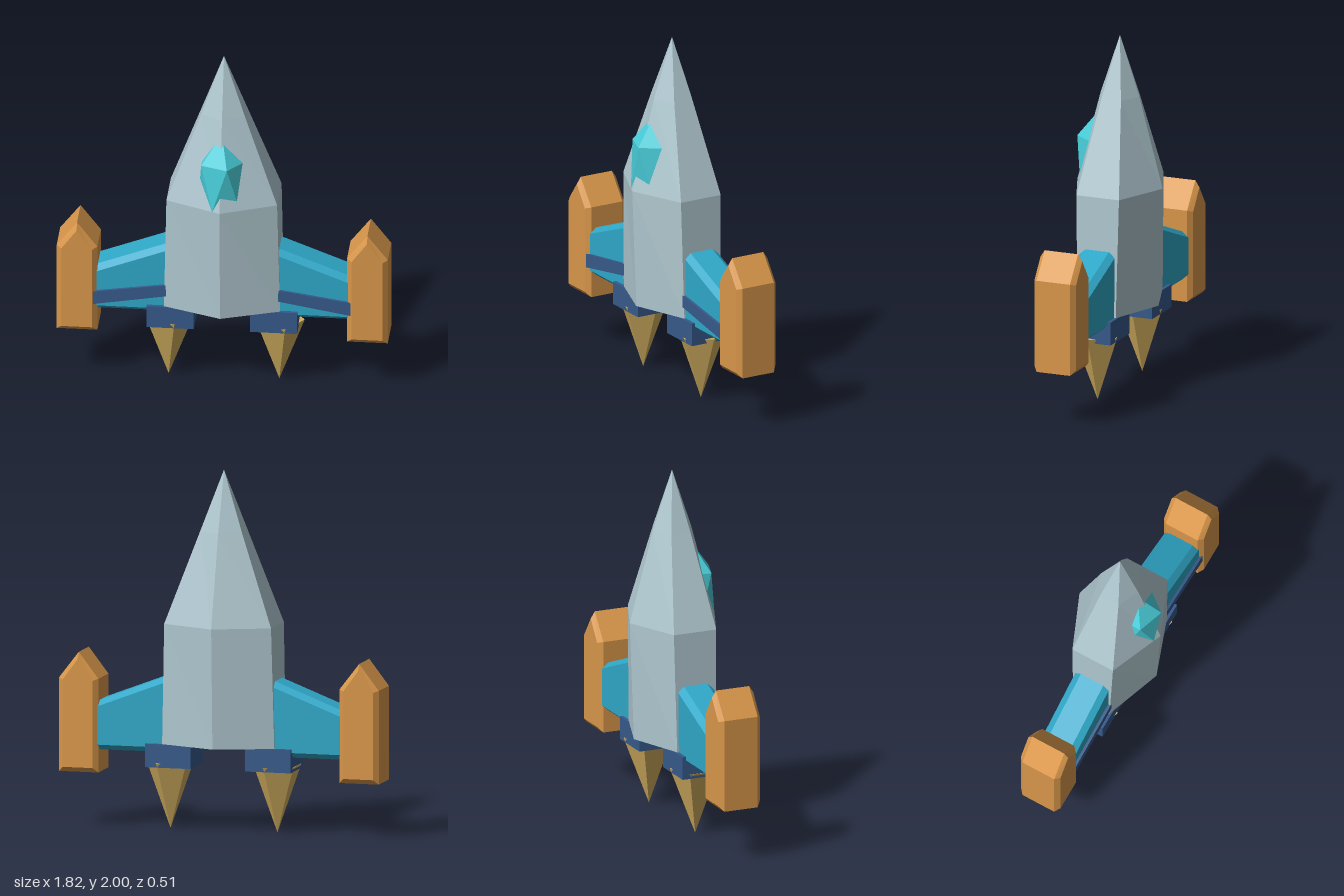
import * as THREE from 'three';

const paint = (name, color) => {
  const m = new THREE.MeshStandardMaterial({ color });
  m.name = name;
  return m;
};

// Split every face so that each one is shaded flat
function facet(geometry) {
  const g = geometry.index ? geometry.toNonIndexed() : geometry;
  g.computeVertexNormals();
  return g;
}

function addPart(parent, name, geometry, material, x = 0, y = 0, z = 0) {
  const mesh = new THREE.Mesh(facet(geometry), material);
  mesh.name = name;
  mesh.position.set(x, y, z);
  parent.add(mesh);
  return mesh;
}

const shapeOf = (pts) => new THREE.Shape(pts.map(([x, y]) => new THREE.Vector2(x, y)));

// Six-sided hull: rows of [y, half width in x, half depth in z]
function hullGeometry() {
  const rows = [[0.48, 0.32, 0.23], [1.15, 0.305, 0.255], [1.66, 0.12, 0.116], [2, 0, 0]];
  const profile = [new THREE.Vector2(0, 0.48)];
  for (const [y, w] of rows) profile.push(new THREE.Vector2(w / Math.sin(Math.PI / 3), y));
  const g = new THREE.LatheGeometry(profile, 6);
  const p = g.attributes.position;
  for (let i = 0; i < p.count; i++) {
    const row = rows.find((r) => Math.abs(r[0] - p.getY(i)) < 1e-3);
    if (row[1] > 0) p.setZ(i, (p.getZ(i) * row[2] * Math.sin(Math.PI / 3)) / row[1]);
  }
  return g;
}

// Wing: chamfered section run outwards, its top sloping down to the tip
function wingGeometry() {
  const d = 0.105, c = 0.035, h = 0.03, lo = 0.43, hi = 0.85;
  const section = shapeOf([
    [-d + c, lo], [d - c, lo], [d, lo + h], [d, hi - h],
    [d - c, hi], [-d + c, hi], [-d, hi - h], [-d, lo + h],
  ]);
  const g = new THREE.ExtrudeGeometry(section, { depth: 0.47, bevelEnabled: false });
  g.rotateY(Math.PI / 2).translate(0.25, 0, 0);
  const p = g.attributes.position;
  for (let i = 0; i < p.count; i++) {
    if (p.getY(i) > 0.6) p.setY(i, p.getY(i) - 0.385 * (p.getX(i) - 0.31));
  }
  return g;
}

// Wing-tip pod: pointed slab with chamfered front and back edges
function podGeometry() {
  const outline = shapeOf([[-0.112, 0.305], [0.112, 0.305], [0.112, 0.825], [0, 0.97], [-0.112, 0.825]]);
  return new THREE.ExtrudeGeometry(outline, {
    depth: 0.2, bevelThickness: 0.025, bevelSize: 0.027, bevelOffset: -0.027, bevelSegments: 1,
  }).translate(0, 0, -0.1);
}

export function createModel() {
  const grey = paint('hull grey', 0xb0c8d0);
  const cyan = paint('canopy cyan', 0x48ccd8);
  const teal = paint('wing blue', 0x2fa8c8);
  const navy = paint('engine navy', 0x365a8a);
  const orange = paint('pod orange', 0xd9974a);
  const gold = paint('flame gold', 0xd4b060);

  const ship = new THREE.Group();
  ship.name = 'rocketShip';
  addPart(ship, 'hull', hullGeometry(), grey);

  // Canopy: stretched icosahedron standing on one corner, sunk in the nose
  const gem = new THREE.IcosahedronGeometry(1, 0);
  gem.rotateZ(Math.atan2(1, (1 + Math.sqrt(5)) / 2));
  gem.rotateY(THREE.MathUtils.degToRad(35)).scale(0.147, 0.29, 0.147);
  addPart(ship, 'canopy', gem, cyan, 0, 1.28, 0.113);

  for (const s of [1, -1]) {
    const side = s > 0 ? 'left' : 'right';

    const wing = addPart(ship, side + 'Wing', wingGeometry(), teal);
    wing.rotation.y = s > 0 ? 0 : Math.PI;

    // Raised band across the front of the wing
    const band = shapeOf([[0.3 * s, 0.546], [0.712 * s, 0.475], [0.712 * s, 0.553], [0.3 * s, 0.614]]);
    addPart(ship, side + 'WingBand',
      new THREE.ExtrudeGeometry(band, { depth: 0.02, bevelEnabled: false }), navy, 0, 0, 0.1);

    addPart(ship, side + 'Pod', podGeometry(), orange, 0.8 * s);

    // Engine block with a five-sided flame below
    addPart(ship, side + 'Engine', new THREE.BoxGeometry(0.26, 0.13, 0.25), navy, 0.285 * s, 0.415, 0);
    const flame = new THREE.ConeGeometry(0.14, 0.375, 5).rotateX(Math.PI).rotateY(-Math.PI / 2);
    addPart(ship, side + 'Flame', flame, gold, 0.305 * s, 0.1875, 0);
  }
  return ship;
}
